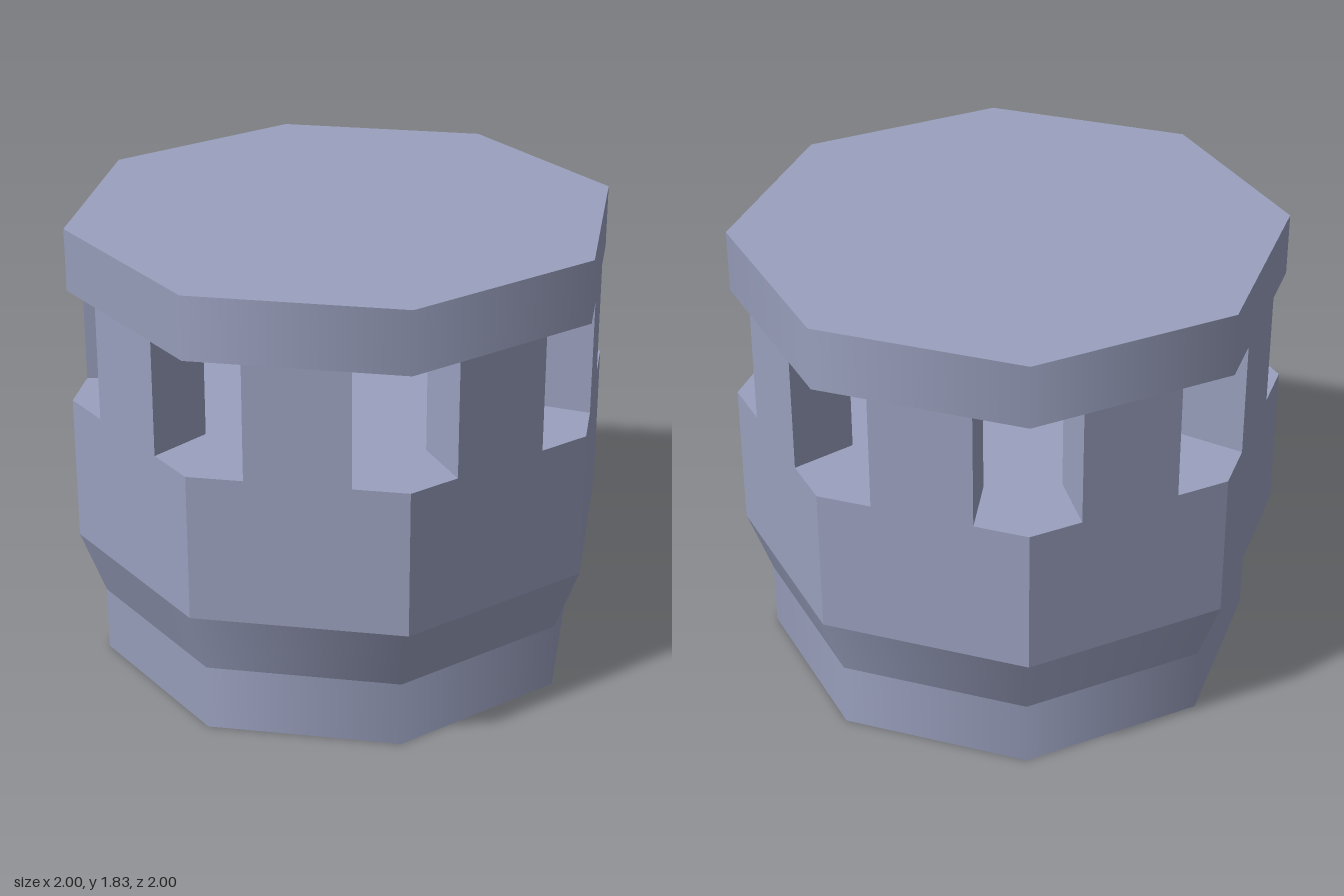
import * as THREE from 'three';

// Octagonal ring sizes are given as centre-to-flat distances
const toRadius = (flat) => flat / Math.cos(Math.PI / 8);

export function createModel() {
  const group = new THREE.Group();
  const stone = new THREE.MeshStandardMaterial({ color: 0x9aa0be });
  stone.name = 'blue grey';

  const add = (name, geometry) => {
    const mesh = new THREE.Mesh(geometry, stone);
    mesh.name = name;
    group.add(mesh);
    return mesh;
  };

  // Eight-sided band with smooth sides, a flat side facing +z
  const band = (y0, y1, flat0, flat1, open) => new THREE.CylinderGeometry(
    toRadius(flat1), toRadius(flat0), y1 - y0, 8, 1, open)
    .rotateY(Math.PI / 8).translate(0, (y0 + y1) / 2, 0);

  // Foot and flare
  add('foot', band(0, 0.265, 0.91, 0.91, false));
  add('flare', band(0.265, 0.53, 0.91, 1, true));

  // Main wall with faceted sides; its top is the floor behind the windows
  const wall = band(0.53, 1.12, 1, 1, false).toNonIndexed();
  wall.computeVertexNormals();
  add('wall', wall);

  // Tapered pillars, one on each side, leaving windows at the corners
  const inner = 0.743, half = 0.2;
  const section = new THREE.Shape([
    new THREE.Vector2(-half, -1), new THREE.Vector2(half, -1),
    new THREE.Vector2(half * inner, -inner), new THREE.Vector2(-half * inner, -inner),
  ]);
  const pillar = new THREE.ExtrudeGeometry(section, { depth: 0.46, bevelEnabled: false })
    .rotateX(-Math.PI / 2).translate(0, 1.12, 0);
  for (let i = 0; i < 8; i++) add('pillar', pillar).rotation.y = i * Math.PI / 4;

  // Roof slab
  add('roof', band(1.58, 1.83, 1, 1, false));

  return group;
}
